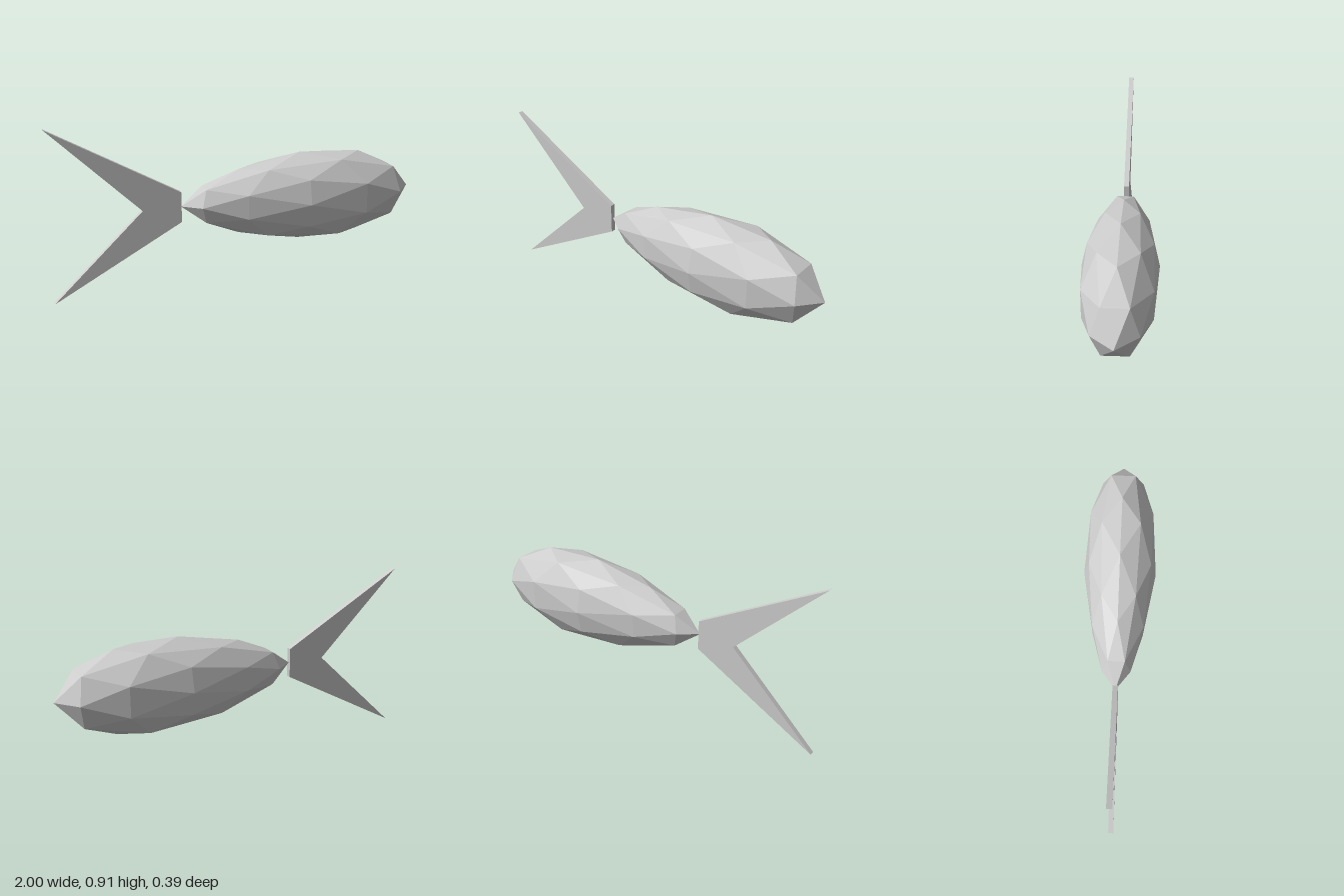
import * as THREE from 'three';

const MID_Y = 0.457;

// Faceted body: a subdivided icosahedron, stretched along x and slimmer towards the tail
function createBody(material) {
  const geometry = new THREE.IcosahedronGeometry(1, 1);
  const pos = geometry.attributes.position;
  for (let i = 0; i < pos.count; i++) {
    const u = pos.getX(i);
    const girth = 1 + 0.23 * u - 0.11 * u * u;
    pos.setXYZ(i, u * 0.66, pos.getY(i) * 0.2435 * girth, pos.getZ(i) * 0.196 * girth);
  }
  geometry.computeVertexNormals();
  const body = new THREE.Mesh(geometry, material);
  body.name = 'body';
  body.position.set(0.34, MID_Y, 0);
  return body;
}

// Flat forked tail fin, symmetrical above and below the centre line
function createTail(material) {
  const thickness = 0.028;
  const shape = new THREE.Shape([
    [-0.32, -0.081], [-0.32, 0.081], [-1, MID_Y], [-0.526, 0], [-1, -MID_Y],
  ].map(([x, y]) => new THREE.Vector2(x, y)));
  const geometry = new THREE.ExtrudeGeometry(shape, { depth: thickness, bevelEnabled: false });
  geometry.translate(0, MID_Y, -thickness / 2);
  const tail = new THREE.Mesh(geometry, material);
  tail.name = 'tailFin';
  return tail;
}

export function createModel() {
  const material = new THREE.MeshStandardMaterial({ color: 0xcccccc, flatShading: true });
  const fish = new THREE.Group();
  fish.name = 'fish';
  fish.add(createBody(material), createTail(material));
  return fish;
}
